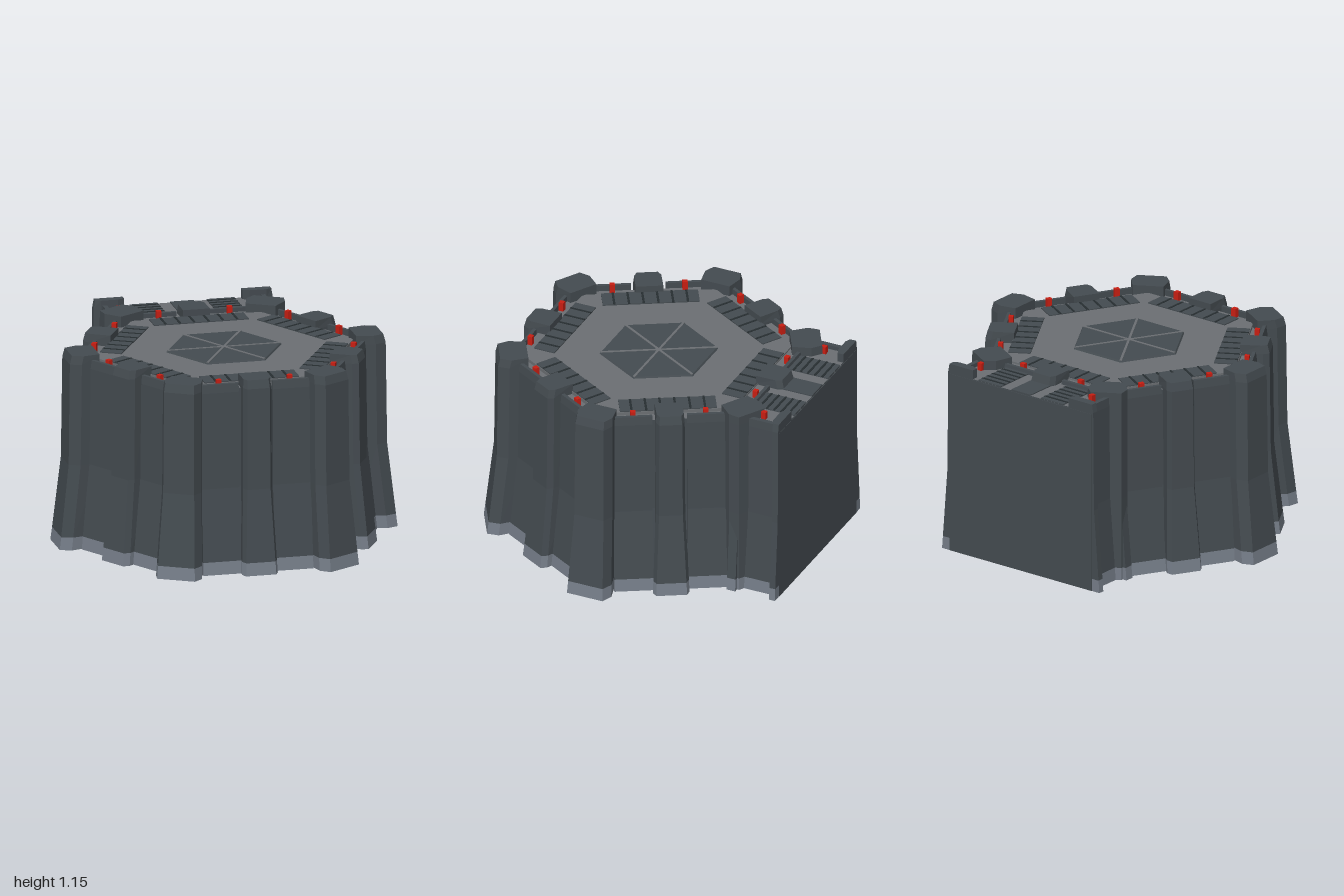
import * as THREE from 'three';

const CENTRE_Z = 0.045; // centre of the hexagonal keep

export function createModel() {
  const material = (name, color) => new THREE.MeshStandardMaterial({ name, color, flatShading: true });
  const wall = material('slate wall', 0x444b50);
  const footing = material('grey footing', 0x757d88);
  const floor = material('roof floor grey', 0x6b6f73);
  const slot = material('dark slot', 0x272e31);
  const red = material('lamp red', 0xc81e12);

  const model = new THREE.Group();
  model.name = 'hexagonalBastion';

  // Stacks cross-sections ringAt(flare) -> [[x, z]...]; the lowest band is the footing.
  function loft(name, ringAt, top, capMaterial = wall, bevel = 0, footMaterial = footing) {
    const levels = [[0, 1], [0.075, 0.86], [0.5, 0.12], [top - 0.05, 0], [top, -bevel]];
    const rings = levels.map(([y, flare]) => {
      const ring = ringAt(flare).map(([x, z]) => [x, y, z]);
      const area = ring.reduce((sum, p, i) => {
        const q = ring[(i + 1) % ring.length];
        return sum + p[0] * q[2] - q[0] * p[2];
      }, 0);
      return area > 0 ? ring.reverse() : ring;
    });
    const positions = [];
    const geometry = new THREE.BufferGeometry();
    const tri = (...points) => points.forEach((p) => positions.push(...p));
    const closeGroup = (start, index) => geometry.addGroup(start, positions.length / 3 - start, index);
    const n = rings[0].length;
    for (let k = 0; k < rings.length - 1; k++) {
      const start = positions.length / 3;
      const a = rings[k], b = rings[k + 1];
      for (let i = 0; i < n; i++) {
        const j = (i + 1) % n;
        tri(a[i], a[j], b[j]);
        tri(a[i], b[j], b[i]);
      }
      closeGroup(start, k === 0 ? 0 : 1);
    }
    const last = rings[rings.length - 1];
    let start = positions.length / 3;
    for (let i = 1; i < n - 1; i++) tri(last[0], last[i], last[i + 1]);
    closeGroup(start, 2);
    start = positions.length / 3;
    for (let i = 1; i < n - 1; i++) tri(rings[0][0], rings[0][i + 1], rings[0][i]);
    closeGroup(start, 1);
    geometry.setAttribute('position', new THREE.Float32BufferAttribute(positions, 3));
    geometry.computeVertexNormals();
    const mesh = new THREE.Mesh(geometry, [footMaterial, wall, capMaterial]);
    mesh.name = name;
    return mesh;
  }

  function box(name, mat, w, h, d, x, y, z) {
    const mesh = new THREE.Mesh(new THREE.BoxGeometry(w, h, d), mat);
    mesh.name = name;
    mesh.position.set(x, y, z);
    return mesh;
  }

  const hexRing = (apothem) => Array.from({ length: 6 }, (_, i) => {
    const r = apothem / Math.cos(Math.PI / 6), a = i * Math.PI / 3;
    return [r * Math.cos(a), r * Math.sin(a)];
  });

  // Buttress pointing along +z, tapering to its outer face
  function buttress(name, inner, shoulder, outer, wInner, wShoulder, wOuter, flareSize) {
    return loft(name, (f) => {
      const out = f * flareSize, wide = f * flareSize * 0.35;
      return [
        [-wInner, inner], [-wShoulder - wide, shoulder + out], [-wOuter - wide, outer + out],
        [wOuter + wide, outer + out], [wShoulder + wide, shoulder + out], [wInner, inner],
      ];
    }, 1.15, wall, 0.2);
  }

  // Wall panel facing +z, spanning x0..x1
  const panel = (x0, x1, inner, outer, flareSize) => loft('wallPanel', (f) => [
    [x0, inner], [x1, inner], [x1, outer + f * flareSize], [x0, outer + f * flareSize],
  ], 1.12, wall, 0.1);

  // Vent strip: a thin plate crossed by dark slots along x
  function vent(length, depth, slots) {
    const group = new THREE.Group();
    group.name = 'roofVent';
    group.add(box('ventPlate', wall, length, 0.008, depth, 0, 0, 0));
    for (let i = 0; i < slots; i++) {
      const x = (i - (slots - 1) / 2) * length / (slots + 0.6);
      group.add(box('ventSlot', slot, 0.013, 0.005, depth, x, 0.004, 0));
    }
    return group;
  }

  // Hexagonal keep with a raised roof floor
  const keep = new THREE.Group();
  keep.name = 'keep';
  keep.position.z = CENTRE_Z;
  model.add(keep);
  keep.add(loft('keepCore', (f) => hexRing(0.73 + 0.06 * f), 1.085, floor));
  const deck = new THREE.Mesh(new THREE.CylinderGeometry(0.768, 0.768, 0.03, 6), floor);
  deck.name = 'roofDeck';
  deck.rotation.y = Math.PI / 6;
  deck.position.y = 1.09;
  keep.add(deck);

  // Six sides: side 0 faces the front, side 3 the annex
  for (let i = 0; i < 6; i++) {
    const side = new THREE.Group();
    side.name = 'keepSide';
    side.rotation.y = i * Math.PI / 3;
    side.add(buttress('middleButtress', 0.655, 0.79, 0.825, 0.08, 0.083, 0.066, 0.065));
    for (const s of [-1, 1]) {
      side.add(panel(s * 0.1, s * 0.325, 0.73, 0.757, 0.065));
      side.add(box('lamp', red, 0.03, 0.055, 0.028, s * 0.21, 1.112, 0.715));
    }
    const strip = vent(0.56, 0.13, 6);
    strip.position.set(0, 1.107, 0.597);
    side.add(strip);
    keep.add(side);

    // Corner buttress; the two beside the annex stay upright
    const besideAnnex = i === 2 || i === 3;
    const corner = buttress('cornerButtress', 0.76, 0.87, 0.935, 0.09, 0.115, 0.09, besideAnnex ? 0.005 : 0.065);
    corner.rotation.y = Math.PI / 6 + i * Math.PI / 3;
    keep.add(corner);
  }

  // Central skylight with ribs
  const skylight = new THREE.Mesh(new THREE.CylinderGeometry(0.335, 0.342, 0.01, 6), wall);
  skylight.name = 'skylight';
  skylight.rotation.y = Math.PI / 6;
  skylight.position.y = 1.11;
  keep.add(skylight);
  for (let i = 0; i < 3; i++) {
    const rib = box('skylightRib', floor, 0.67, 0.006, 0.014, 0, 1.115, 0);
    rib.rotation.y = i * Math.PI / 3;
    keep.add(rib);
  }

  // Rear annex, cut off flat at the back
  const annex = new THREE.Group();
  annex.name = 'annex';
  model.add(annex);
  annex.add(loft('annexCore', (f) => {
    const w = 0.46 + 0.03 * f;
    return [[-w, -0.6], [w, -0.6], [w, -0.96], [-w, -0.96]];
  }, 1.095, floor, 0, wall));
  annex.add(box('annexRoofPad', wall, 0.14, 0.008, 0.2, 0, 1.097, -0.86));

  for (const s of [-1, 1]) {
    const strip = vent(0.255, 0.165, 5);
    strip.rotation.y = Math.PI / 2;
    strip.position.set(s * 0.228, 1.097, -0.832);
    annex.add(strip);
    annex.add(box('lamp', red, 0.028, 0.05, 0.03, s * 0.405, 1.115, -0.815));

    // Side wall, half buttress beside the keep, and end buttress
    const sidePanel = panel(s * 0.7, s * 0.915, 0.455, 0.485, 0.035);
    sidePanel.rotation.y = s * Math.PI / 2;
    annex.add(sidePanel);
    annex.add(loft('innerHalfButtress', (f) => {
      const x = s * (0.525 + 0.05 * f);
      return [[s * 0.42, -0.71], [x, -0.71], [x, -0.655], [s * 0.42, -0.655]];
    }, 1.1));
    annex.add(loft('endButtress', (f) => {
      const x = s * (0.53 + 0.045 * f);
      return [[s * 0.35, -0.962], [x, -0.962], [x, -0.925], [s * 0.49, -0.91], [s * 0.39, -0.91], [s * 0.35, -0.925]];
    }, 1.15, wall, 0.2));
  }
  // Flat closing face across the back
  annex.add(box('backFace', wall, 1.04, 1.09, 0.008, 0, 0.545, -0.96));

  return model;
}
